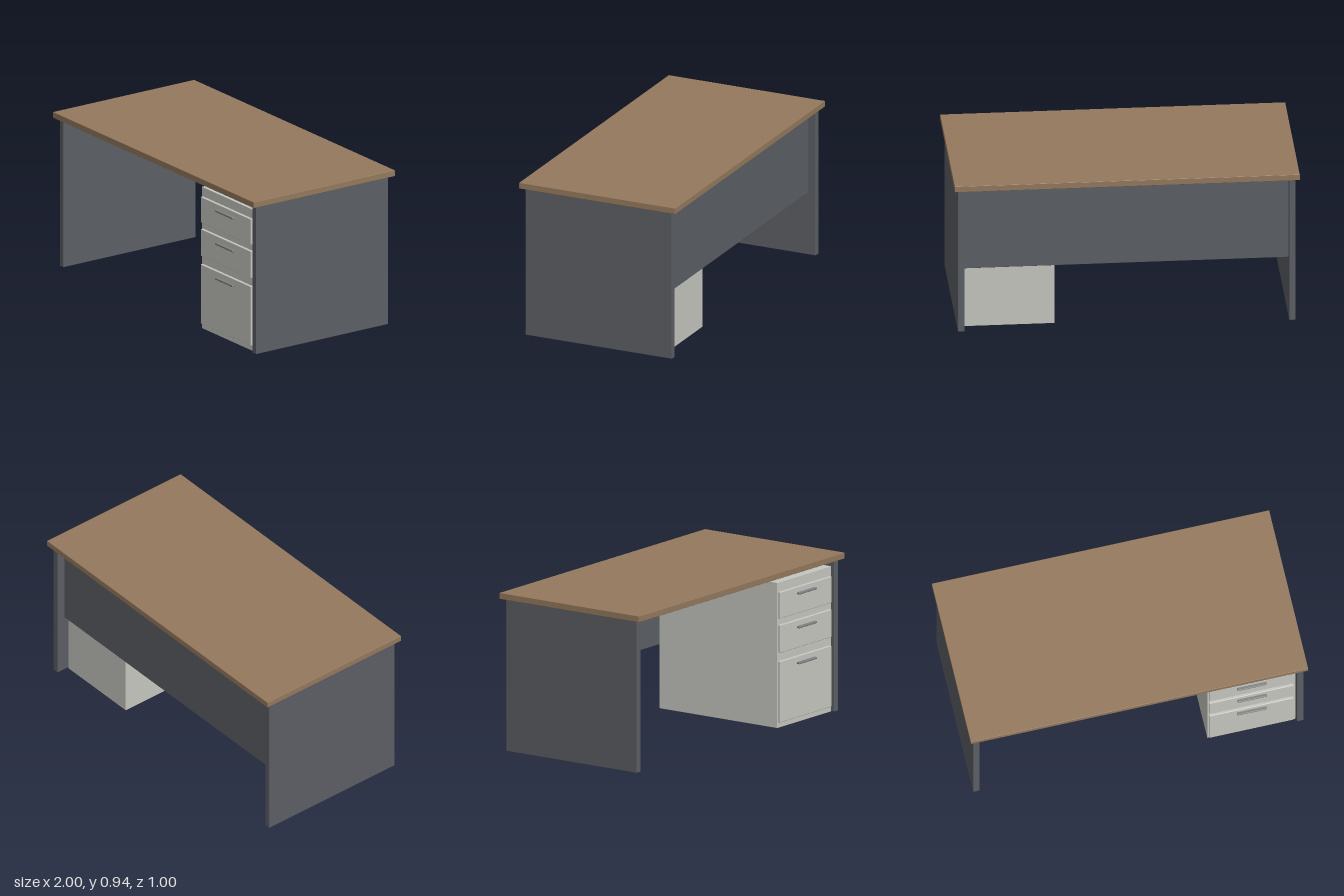
import * as THREE from 'three';
import { RoundedBoxGeometry } from 'three/addons/geometries/RoundedBoxGeometry.js';

const material = (color) => new THREE.MeshStandardMaterial({ color });

// Box given by its extents on each axis, with slightly eased edges
function slab(name, mat, [x0, x1], [y0, y1], [z0, z1], radius = 0.003) {
  const size = [x1 - x0, y1 - y0, z1 - z0];
  const mesh = new THREE.Mesh(new RoundedBoxGeometry(...size, 2, radius), mat);
  mesh.position.set((x0 + x1) / 2, (y0 + y1) / 2, (z0 + z1) / 2);
  mesh.name = name;
  return mesh;
}

export function createModel() {
  const desk = new THREE.Group();
  desk.name = 'desk';
  const wood = material(0x93785c);
  const slate = material(0x5b5e63);
  const paint = material(0xc6c6c0);
  const metal = material(0x808282);

  // Worktop
  desk.add(slab('worktop', wood, [-1, 1], [0.902, 0.938], [-0.5, 0.5], 0.002));

  // End panels that carry the top
  desk.add(slab('leftEndPanel', slate, [0.941, 0.979], [0, 0.902], [-0.469, 0.469]));
  desk.add(slab('rightEndPanel', slate, [-0.979, -0.941], [0, 0.902], [-0.469, 0.469]));

  // Modesty panel, set in from the back edge
  desk.add(slab('modestyPanel', slate, [-0.941, 0.941], [0.379, 0.873], [-0.42, -0.395]));

  // Drawer pedestal
  const pedestal = new THREE.Group();
  pedestal.name = 'drawerPedestal';
  pedestal.add(slab('pedestalBody', paint, [0.413, 0.935], [0, 0.863], [-0.395, 0.451], 0.002));

  // Drawers: bottom, top and handle height
  const drawers = [
    ['topDrawer', 0.65, 0.807, 0.769],
    ['middleDrawer', 0.446, 0.611, 0.569],
    ['bottomDrawer', 0.033, 0.396, 0.356],
  ];
  for (const [name, y0, y1, handleY] of drawers) {
    const drawer = new THREE.Group();
    drawer.name = name;
    drawer.add(slab('drawerFront', paint, [0.422, 0.922], [y0, y1], [0.446, 0.466], 0.004));
    drawer.add(slab('drawerHandle', metal, [0.586, 0.76],
      [handleY - 0.0065, handleY + 0.0065], [0.462, 0.482], 0.004));
    pedestal.add(drawer);
  }
  desk.add(pedestal);
  return desk;
}
